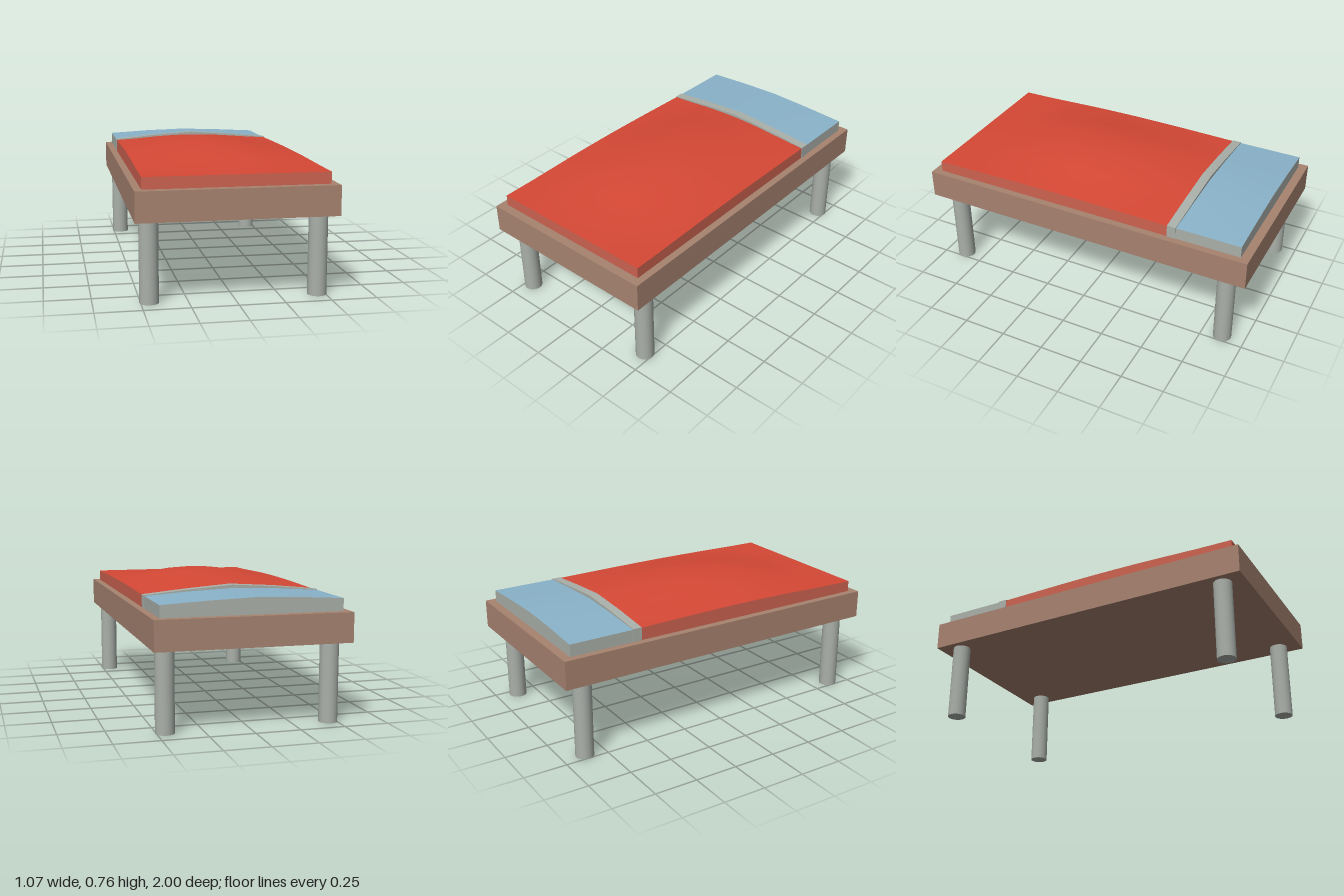
import * as THREE from 'three';

const mat = (name, color) => Object.assign(new THREE.MeshStandardMaterial({ color }), { name });

// Linear lookup in a list of [position, value] pairs
function lookup(points, t) {
  for (let i = 1; i < points.length; i++) {
    const [a, va] = points[i - 1], [b, vb] = points[i];
    if (t <= b) return THREE.MathUtils.lerp(va, vb, THREE.MathUtils.clamp((t - a) / (b - a), 0, 1));
  }
  return points[points.length - 1][1];
}

// Height along the middle of the bed, and share of the swell across it
const EDGE = 0.679, BASE = 0.614;
const ridge = [[-0.95, 0.705], [-0.53, 0.712], [-0.4, 0.725], [-0.2, 0.745], [0, 0.757], [0.15, 0.761],
  [0.4, 0.747], [0.6, 0.717], [0.77, 0.69], [0.95, EDGE]];
const swell = [[-0.497, 0.2], [-0.373, 0.4], [-0.249, 0.73], [-0.124, 0.94], [0, 1],
  [0.124, 0.9], [0.249, 0.64], [0.373, 0.34], [0.497, 0.12]];
const height = (x, z) => EDGE + (lookup(ridge, z) - EDGE) * lookup(swell, x);

// Slab whose top follows the swell of the bedding
function beddingSlab(name, halfWidth, z0, z1, nx, nz, lift, top, side) {
  const g = new THREE.BoxGeometry(halfWidth * 2, 1, z1 - z0, nx, 1, nz);
  g.translate(0, 0, (z0 + z1) / 2);
  const p = g.attributes.position;
  for (let i = 0; i < p.count; i++) {
    const x = p.getX(i), z = p.getZ(i);
    p.setY(i, p.getY(i) > 0 ? height(x, z) + lift(x) : BASE);
  }
  g.computeVertexNormals();
  const mesh = new THREE.Mesh(g, [side, side, top, side, side, side]);
  mesh.name = name;
  return mesh;
}

export function createModel() {
  const wood = mat('brown wood', 0xa78370);
  const grey = mat('pale grey', 0xaab0aa);
  const red = mat('red blanket', 0xd64835);
  const redSide = mat('faded red hem', 0xcc6351);
  const blue = mat('light blue pillow', 0x8ab3ca);

  const model = new THREE.Group();
  model.name = 'bed';

  // Frame
  const frame = new THREE.Mesh(new THREE.BoxGeometry(1.074, 0.163, 2), wood);
  frame.position.y = 0.5335;
  frame.name = 'frame';
  model.add(frame);

  // Four round legs
  const legGeometry = new THREE.CylinderGeometry(0.052, 0.052, 0.453, 24);
  for (const x of [-0.455, 0.455]) {
    for (const z of [-0.87, 0.87]) {
      const leg = new THREE.Mesh(legGeometry, grey);
      leg.position.set(x, 0.2265, z);
      leg.name = (z > 0 ? 'front' : 'back') + (x > 0 ? 'Left' : 'Right') + 'Leg';
      model.add(leg);
    }
  }

  // Blanket, folded sheet band and pillow
  model.add(beddingSlab('blanket', 0.497, -0.535, 0.95, 8, 14, () => 0, red, redSide));
  model.add(beddingSlab('sheetBand', 0.5, -0.577, -0.525, 4, 1, (x) => 0.004 + 0.014 * (1 - Math.abs(x) * 2), grey, grey));
  model.add(beddingSlab('pillow', 0.497, -0.95, -0.565, 4, 2, () => 0, blue, grey));

  return model;
}
